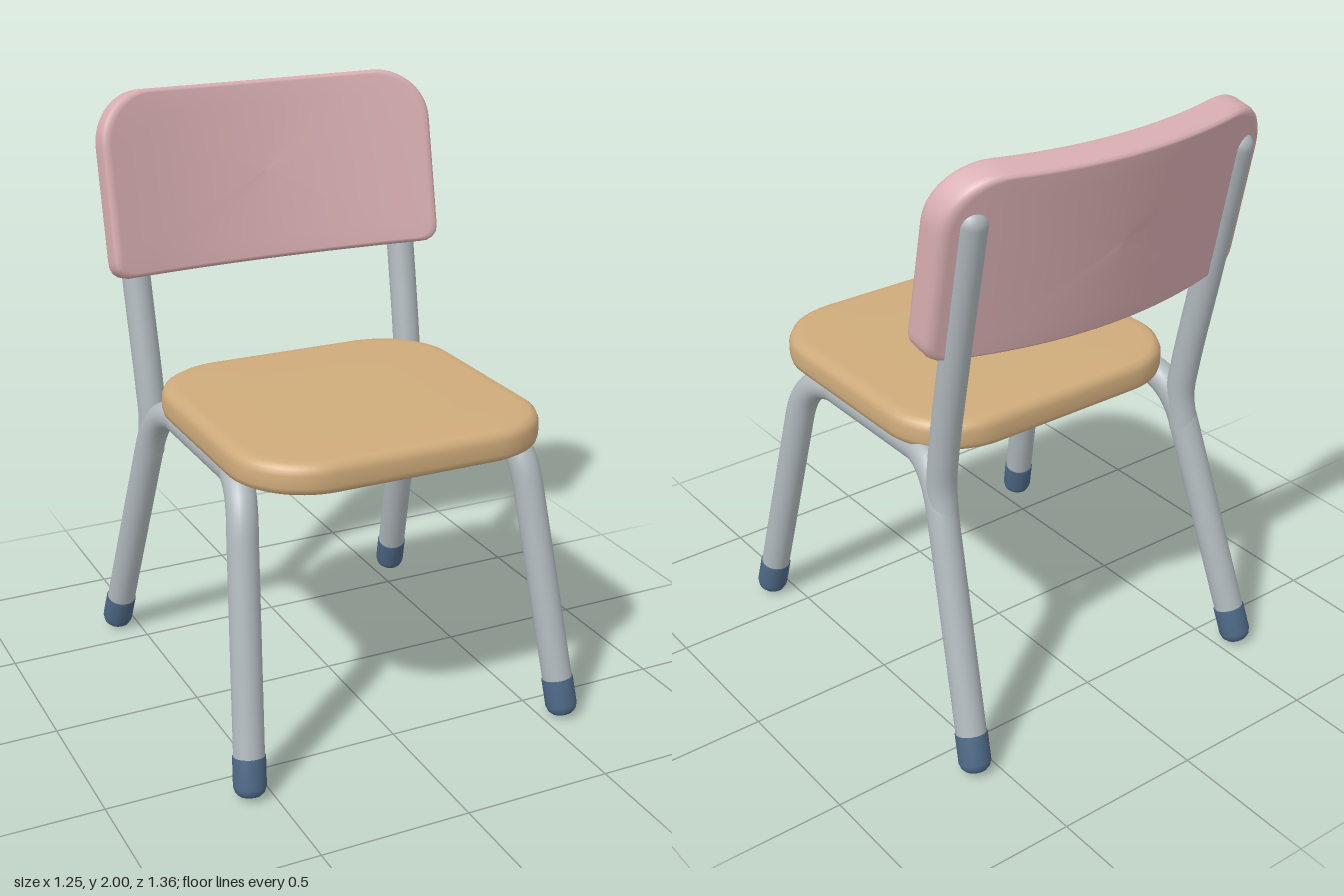
import * as THREE from 'three';

const V = (x, y, z) => new THREE.Vector3(x, y, z);
const mat = (name, color) => {
  const m = new THREE.MeshStandardMaterial({ color });
  m.name = name;
  return m;
};

// Rounded rectangle outline, centred, with separate top and bottom corner radii
function outline(w, h, rTop, rBottom, count) {
  const x = w / 2, y = h / 2, k = 0.45; // k: how far the handles stay from the corner
  const s = new THREE.Shape();
  s.moveTo(-x + rBottom, -y);
  s.lineTo(x - rBottom, -y);
  s.bezierCurveTo(x - rBottom * k, -y, x, -y + rBottom * k, x, -y + rBottom);
  s.lineTo(x, y - rTop);
  s.bezierCurveTo(x, y - rTop * k, x - rTop * k, y, x - rTop, y);
  s.lineTo(-x + rTop, y);
  s.bezierCurveTo(-x + rTop * k, y, -x, y - rTop * k, -x, y - rTop);
  s.lineTo(-x, -y + rBottom);
  s.bezierCurveTo(-x, -y + rBottom * k, -x + rBottom * k, -y, -x + rBottom, -y);
  return s.getSpacedPoints(count).slice(0, count);
}

// Closed slab of concentric rings; each ring is [scale, height], front to back
function slab(points, rings, warp) {
  const n = points.length, pos = [], index = [];
  for (const [scale, height] of rings)
    for (const p of points) {
      const x = p.x * scale, y = p.y * scale;
      pos.push(x, y, height + (warp ? warp(x, y) : 0));
    }
  for (let r = 0; r < rings.length - 1; r++)
    for (let i = 0; i < n; i++) {
      const j = (i + 1) % n;
      const a = r * n + i, b = r * n + j, c = a + n, d = b + n;
      index.push(a, c, d, a, d, b);
    }
  const g = new THREE.BufferGeometry();
  g.setAttribute('position', new THREE.Float32BufferAttribute(pos, 3));
  g.setIndex(index);
  g.computeVertexNormals();
  return g;
}

export function createModel() {
  const chair = new THREE.Group();
  const pink = mat('pink backrest', 0xd8aeb1);
  const tan = mat('tan seat', 0xcfab7b);
  const grey = mat('grey tube', 0xb0b8bc);
  const blue = mat('blue foot', 0x4d6885);
  const add = (name, geometry, material, parent = chair) => {
    const m = new THREE.Mesh(geometry, material);
    m.name = name;
    parent.add(m);
    return m;
  };

  // Seat: flat top, soft rim, gently bulging underside
  const seat = add('seat', slab(outline(1.06, 1.02, 0.25, 0.25, 140), [
    [0, 0.1], [0.5, 0.1], [0.9, 0.1], [0.955, 0.098], [0.985, 0.087], [1, 0.066],
    [1, 0.025], [0.992, 0.008], [0.97, 0], [0.9, -0.006], [0.75, -0.025], [0.5, -0.036], [0, -0.036],
  ]), tan);
  seat.rotation.x = -Math.PI / 2;
  seat.position.set(0, 0.98, 0.14);

  // Backrest: thick panel, bowed backwards in the middle and leaning back
  const bow = (x) => -0.1 * (1 - (x / 0.605) ** 2);
  const backrest = add('backrest', slab(outline(1.21, 0.615, 0.18, 0.05, 160), [
    [0, 0.057], [0.25, 0.057], [0.5, 0.057], [0.75, 0.057], [0.95, 0.057], [0.975, 0.055],
    [0.992, 0.046], [1, 0.03], [1, -0.03], [0.992, -0.046], [0.975, -0.055],
    [0.95, -0.057], [0.75, -0.057], [0.5, -0.057], [0.25, -0.057], [0, -0.057],
  ], bow), pink);
  backrest.rotation.x = -0.2;
  backrest.position.set(0, 1.704, -0.45);

  // Rounded rubber foot, standing along its own y axis
  const footProfile = [[0, 0], [0.02, 0], [0.036, 0.006], [0.047, 0.017], [0.053, 0.035], [0.053, 0.13], [0.049, 0.132]]
    .map(([x, y]) => new THREE.Vector2(x, y));
  const footGeometry = new THREE.LatheGeometry(footProfile, 28);

  for (const [side, s] of [['left', 1], ['right', -1]]) {
    const frame = new THREE.Group();
    frame.name = side + 'Frame';
    chair.add(frame);
    const P = (x, y, z) => V(x * s, y, z);

    // Front leg, under-seat rail and back leg bent from one tube
    const frontFoot = P(0.573, 0.006, 0.637), frontKnee = P(0.508, 0.8, 0.458);
    const backFoot = P(0.573, 0.006, -0.635), backKnee = P(0.503, 0.8, -0.377);
    const railFront = P(0.465, 0.957, 0.29), railBack = P(0.465, 0.957, -0.2);
    const path = new THREE.CurvePath();
    path.add(new THREE.LineCurve3(frontFoot.clone().lerp(frontKnee, 0.08), frontKnee));
    path.add(new THREE.QuadraticBezierCurve3(frontKnee, P(0.49, 0.957, 0.423), railFront));
    path.add(new THREE.LineCurve3(railFront, railBack));
    path.add(new THREE.QuadraticBezierCurve3(railBack, P(0.488, 0.957, -0.326), backKnee));
    path.add(new THREE.LineCurve3(backKnee, backFoot.clone().lerp(backKnee, 0.08)));
    add(side + 'LegsAndRail', new THREE.TubeGeometry(path, 120, 0.05, 24), grey, frame);

    // Back post rising from the back leg into the rear of the backrest
    const top = P(0.505, 1.84, -0.542);
    const post = new THREE.CatmullRomCurve3([
      P(0.501, 0.78, -0.381), P(0.495, 0.9, -0.362), P(0.497, 1.02, -0.376), P(0.503, 1.4, -0.452), top,
    ]);
    add(side + 'BackPost', new THREE.TubeGeometry(post, 50, 0.048, 24), grey, frame);
    add(side + 'PostCap', new THREE.SphereGeometry(0.048, 24, 14), grey, frame).position.copy(top);

    // Feet, aligned with their legs
    for (const [name, foot, knee] of [['FrontFoot', frontFoot, frontKnee], ['BackFoot', backFoot, backKnee]]) {
      const m = add(side + name, footGeometry, blue, frame);
      m.position.copy(foot);
      m.quaternion.setFromUnitVectors(V(0, 1, 0), knee.clone().sub(foot).normalize());
    }
  }
  return chair;
}
